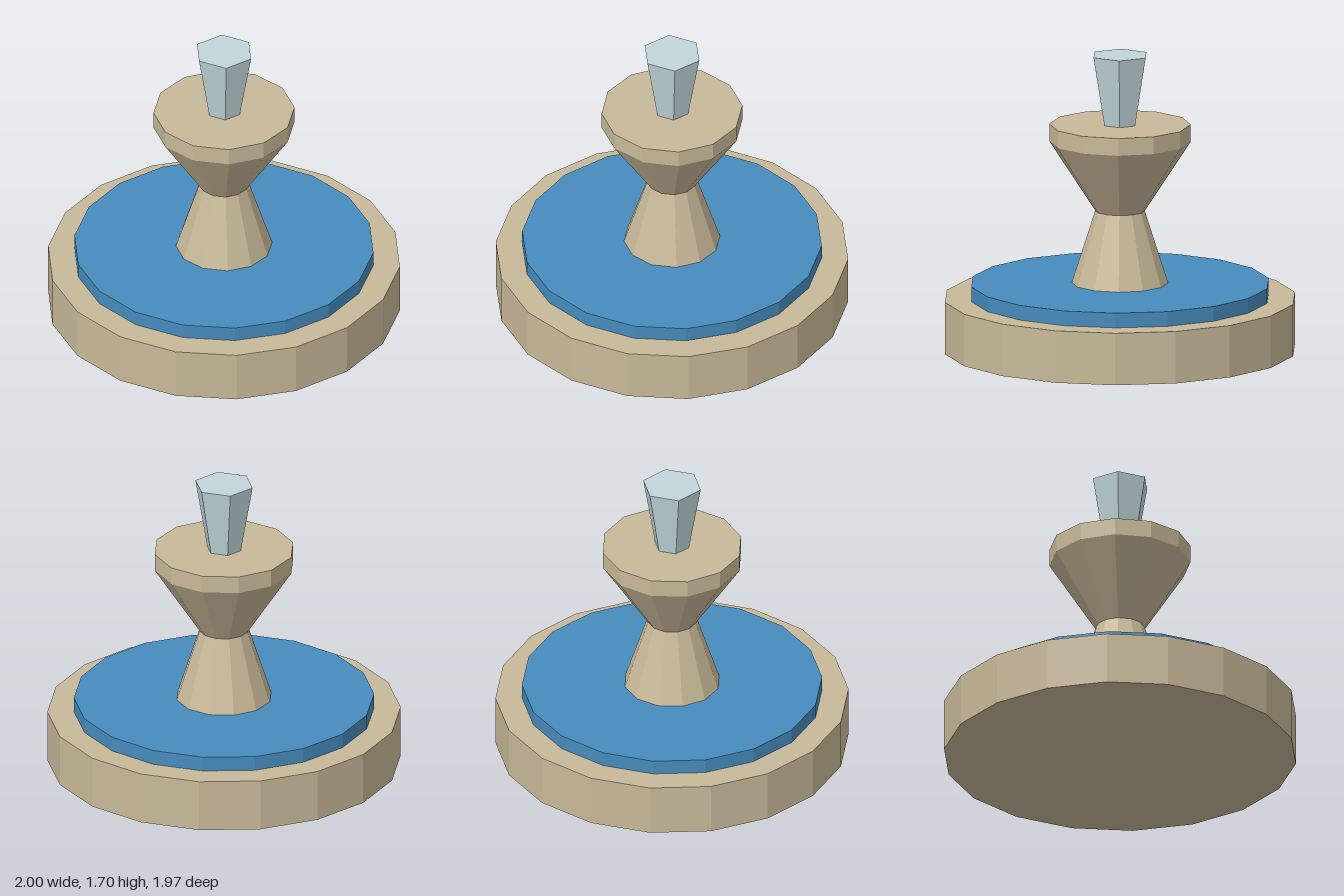
import * as THREE from 'three';

export function createModel() {
  const model = new THREE.Group();

  const flat = (name, color) => {
    const m = new THREE.MeshStandardMaterial({ color, flatShading: true });
    m.name = name;
    return m;
  };
  const stone = flat('sandstone', 0xc8b999);
  const water = flat('water blue', 0x468cbe);
  const spray = flat('pale spray', 0xc1d6da);

  // Faceted tapered drum between two heights, with a corner on the x axis
  const drum = (name, material, sides, rBottom, rTop, y0, y1) => {
    const geometry = new THREE.CylinderGeometry(rTop, rBottom, y1 - y0, sides);
    geometry.rotateY(Math.PI / 2);
    geometry.translate(0, (y0 + y1) / 2, 0);
    const mesh = new THREE.Mesh(geometry, material);
    mesh.name = name;
    model.add(mesh);
  };

  // Basin and its pool
  drum('basin', stone, 18, 1, 1, 0, 0.3);
  drum('poolWater', water, 18, 0.85, 0.85, 0.3, 0.385);

  // Pedestal, flared bowl and its rim
  drum('pedestal', stone, 12, 0.3, 0.14, 0.3, 0.8);
  drum('bowl', stone, 12, 0.14, 0.4, 0.8, 1.2);
  drum('bowlRim', stone, 12, 0.4, 0.4, 1.2, 1.3);

  // Water jet widening upwards
  drum('waterJet', spray, 6, 0.1, 0.17, 1.3, 1.7);

  return model;
}
